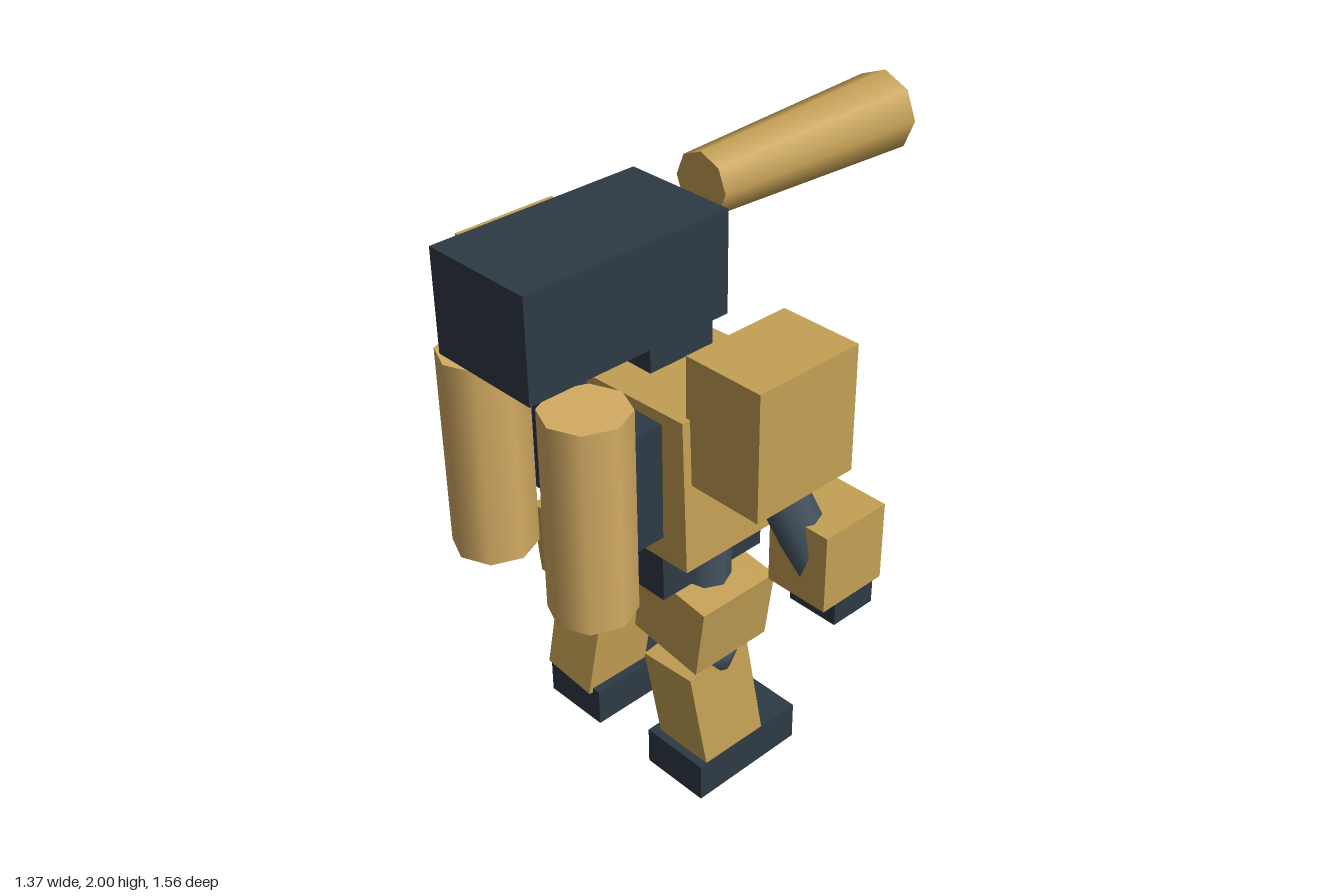
import * as THREE from 'three';

const material = (color) => new THREE.MeshStandardMaterial({ color });

export function createModel() {
  const model = new THREE.Group();
  const armour = material(0xc4a055);
  const trim = material(0xd4ac64);
  const dark = material(0x2d3a44);
  const joint = material(0x44535f);
  const glow = material(0x4fc3cc);

  function add(name, geometry, mat, position, rotation = [0, 0, 0]) {
    const mesh = new THREE.Mesh(geometry, mat);
    mesh.name = name;
    mesh.position.set(...position);
    mesh.rotation.set(...rotation);
    model.add(mesh);
    return mesh;
  }
  const box = (name, size, mat, position, rotation) =>
    add(name, new THREE.BoxGeometry(...size), mat, position, rotation);

  // Torso, leaning slightly to one side, with a bar running through the chest
  const lean = [0, 0, 0.03];
  box('torso', [0.76, 0.49, 0.43], armour, [0, 1.187, 0.203], lean);
  box('chestBar', [0.49, 0.105, 0.46], trim, [0, 1.25, 0.197], lean);
  box('pelvis', [0.54, 0.16, 0.4], dark, [0, 0.86, 0.2]);

  // Head, visor and the heavy block behind them
  box('head', [0.24, 0.245, 0.24], dark, [0, 1.5625, 0.18]);
  box('visor', [0.2, 0.05, 0.06], glow, [0, 1.565, 0.05]);
  box('headBlock', [0.38, 0.32, 0.71], dark, [0, 1.73, 0.425]);

  // Flared barrel
  add('barrel', new THREE.CylinderGeometry(0.098, 0.128, 0.77, 8), armour,
    [0, 1.8725, -0.395], [Math.PI / 2, 0, 0]);

  // Backpack
  box('backpack', [0.61, 0.375, 0.095], dark, [0, 1.2275, 0.4775]);

  for (const s of [-1, 1]) {
    const side = s > 0 ? 'left' : 'right';

    add(side + 'Tank', new THREE.CylinderGeometry(0.13, 0.13, 0.655, 8), trim,
      [s * 0.22, 1.1825, 0.623]);

    // Arm
    box(side + 'Shoulder', [0.27, 0.4, 0.37], armour, [s * 0.493, 1.435, 0.205]);
    add(side + 'ShoulderJoint', new THREE.SphereGeometry(0.115, 8, 6), joint,
      [s * 0.42, 1.3, 0.2]);
    const top = new THREE.Vector3(s * 0.46, 1.34, 0.225);
    const end = new THREE.Vector3(s * 0.59, 0.94, 0.1);
    const axis = top.clone().sub(end);
    const arm = add(side + 'UpperArm',
      new THREE.CylinderGeometry(0.075, 0.075, axis.length(), 8), joint,
      top.clone().add(end).multiplyScalar(0.5).toArray());
    arm.quaternion.setFromUnitVectors(new THREE.Vector3(0, 1, 0), axis.normalize());
    box(side + 'Forearm', [0.215, 0.255, 0.24], armour, [s * 0.578, 0.977, 0.053]);
    box(side + 'Hand', [0.175, 0.1, 0.16], dark, [s * 0.578, 0.8, 0.02]);

    // Leg, the shins pitched in opposite directions
    add(side + 'HipJoint', new THREE.CylinderGeometry(0.08, 0.08, 0.3, 8), joint,
      [s * 0.25, 0.735, 0.215]);
    box(side + 'Thigh', [0.27, 0.245, 0.292], armour, [s * 0.24, 0.66, 0.208],
      [0, 0, -s * 0.14]);
    add(side + 'Knee', new THREE.SphereGeometry(0.11, 8, 6), joint,
      [s * 0.245, 0.5, 0.205]);
    box(side + 'Shin', [0.207, 0.375, 0.24], armour, [s * 0.24, 0.295, 0.207],
      [s * 0.12, 0, s * 0.08]);
    box(side + 'Foot', [0.24, 0.132, 0.415], dark, [s * 0.24, 0.066, 0.128]);
  }
  return model;
}
